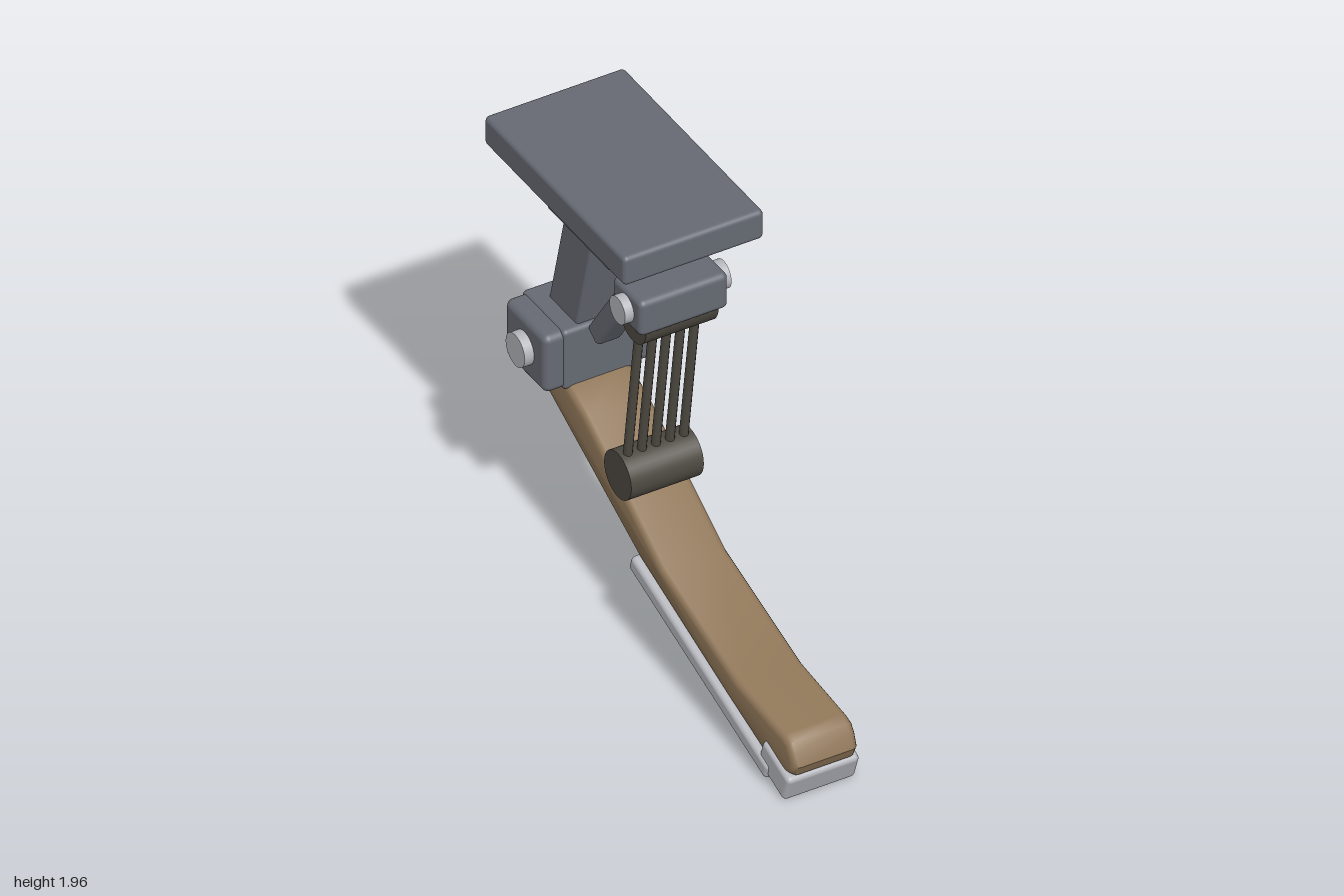
import * as THREE from 'three';
import { toCreasedNormals } from 'three/addons/utils/BufferGeometryUtils.js';
import { RoundedBoxGeometry } from 'three/addons/geometries/RoundedBoxGeometry.js';

const material = (color) => new THREE.MeshStandardMaterial({ color });

export function createModel() {
  const model = new THREE.Group();
  const steel = material(0x666a73);
  const bright = material(0xb4b6bc);
  const dark = material(0x4e4a42);
  const wood = material(0x8f7658);

  const add = (name, geometry, mat, y = 0, z = 0, x = 0) => {
    const mesh = new THREE.Mesh(geometry, mat);
    mesh.name = name;
    mesh.position.set(x, y, z);
    model.add(mesh);
    return mesh;
  };

  // Rounded block given by its width and its y and z limits
  const block = (name, mat, width, y0, y1, z0, z1, radius = 0.02) =>
    add(name, new RoundedBoxGeometry(width, y1 - y0, z1 - z0, 3, radius),
      mat, (y0 + y1) / 2, (z0 + z1) / 2);

  // Rounded bar running between two [z, y] points
  const bar = (name, mat, width, thickness, a, b, radius = 0.015) => {
    const length = Math.hypot(b[0] - a[0], b[1] - a[1]);
    const mesh = add(name, new RoundedBoxGeometry(width, thickness, length, 3, radius),
      mat, (a[1] + b[1]) / 2, (a[0] + b[0]) / 2);
    mesh.lookAt(0, b[1], b[0]);
  };

  // Cylinder lying across the model
  const roller = (name, mat, radius, width, y, z) =>
    add(name, new THREE.CylinderGeometry(radius, radius, width, 32).rotateZ(Math.PI / 2), mat, y, z);

  // Mount at the top and the strut down to the pivot
  block('mountingPlate', steel, 0.6, 1.84, 1.97, -1.0, 0.03);
  block('mountBlock', steel, 0.33, 1.64, 1.85, -0.77, -0.31, 0.012);
  bar('rearStrut', steel, 0.17, 0.2, [-0.64, 1.72], [-0.81, 1.04], 0.012);
  bar('diagonalBrace', steel, 0.11, 0.086, [-0.208, 1.718], [-0.634, 1.091], 0.02);

  // Pivot housing with its pin
  block('pivotHousing', steel, 0.46, 0.86, 1.12, -0.97, -0.67, 0.03);
  block('pivotCore', steel, 0.31, 0.855, 1.127, -0.975, -0.663, 0.02);
  roller('pivotPin', bright, 0.07, 0.54, 0.99, -0.82);

  // Upper rod holder
  block('rodHolder', steel, 0.38, 1.515, 1.675, -0.25, -0.04, 0.025);
  roller('rodHolderPin', bright, 0.058, 0.455, 1.595, -0.145);
  const upper = roller('upperRoller', dark, 0.1, 0.31, 1.52, -0.157);
  const lower = roller('lowerRoller', dark, 0.1, 0.31, 0.728, -0.266);

  // Row of thin rods between the rollers
  const span = new THREE.Vector3().subVectors(upper.position, lower.position);
  const rodGeometry = new THREE.CylinderGeometry(0.018, 0.018, span.length(), 12);
  for (let i = -2; i <= 2; i++) {
    const rod = add('rod', rodGeometry, dark,
      (upper.position.y + lower.position.y) / 2,
      (upper.position.z + lower.position.z) / 2, i * 0.06);
    rod.quaternion.setFromUnitVectors(new THREE.Vector3(0, 1, 0), span.clone().normalize());
  }

  // Bent pedal arm, a side profile of [z, y] points extruded across
  const profile = [
    [-0.95, 0.835], [-0.94, 0.87], [-0.9, 0.89], [-0.69, 0.885], [-0.53, 0.82],
    [0.03, 0.476], [0.58, 0.312], [0.91, 0.284], [0.955, 0.27], [0.98, 0.235],
    [1.0, 0.18], [0.98, 0.135], [0.93, 0.115], [0.78, 0.11],
    [0.5, 0.2], [-0.14, 0.42], [-0.9, 0.8],
  ];
  const shape = new THREE.Shape(profile.map(([z, y]) => new THREE.Vector2(z, y)));
  const bevel = 0.03;
  const width = 0.28;
  const armGeometry = new THREE.ExtrudeGeometry(shape, {
    depth: width - 2 * bevel, bevelEnabled: true, bevelSize: bevel,
    bevelOffset: -bevel, bevelThickness: bevel, bevelSegments: 4,
  });
  armGeometry.translate(0, 0, bevel - width / 2).rotateY(-Math.PI / 2);
  add('pedalArm', toCreasedNormals(armGeometry, 0.7), wood);

  // Sole plate and toe cap under the arm
  bar('solePlate', bright, 0.33, 0.073, [-0.168, 0.398], [0.836, 0.062], 0.02);
  bar('toeCap', bright, 0.31, 0.125, [0.77, 0.13], [0.965, 0.061], 0.02);

  return model;
}
